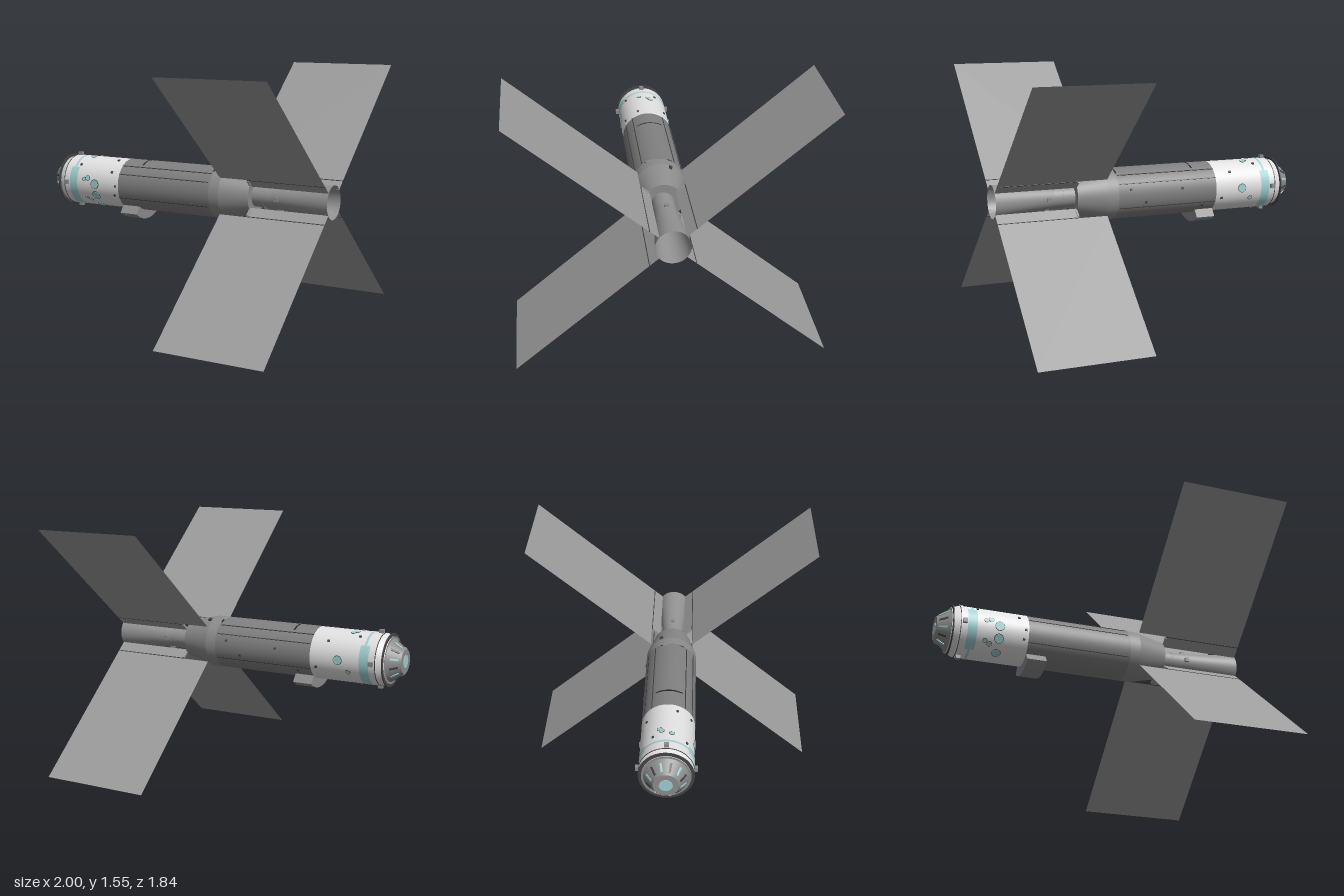
import * as THREE from 'three';
import { mergeGeometries } from 'three/addons/utils/BufferGeometryUtils.js';

const mat = (name, color, side = THREE.FrontSide) => {
  const m = new THREE.MeshStandardMaterial({ color, side });
  m.name = name;
  return m;
};
const RAD = Math.PI / 180;

export function createModel() {
  const white = mat('white hull', 0xe2e2e2);
  const shellGray = mat('shell gray', 0x808080);
  const aftGray = mat('aft gray', 0x8c8c8c);
  const panelGray = mat('panel gray', 0x9c9c9c, THREE.DoubleSide);
  const nozzleGray = mat('nozzle gray', 0x939393, THREE.DoubleSide);
  const dark = mat('dark trim', 0x454545);
  const teal = mat('teal marking', 0x9fd0d0);

  const root = new THREE.Group();
  root.name = 'spaceStation';
  const craft = new THREE.Group(); // local x axis is the centreline
  craft.name = 'craft';
  craft.position.y = 0.775;
  root.add(craft);

  const add = (name, geometry, material) => {
    const m = new THREE.Mesh(geometry, material);
    m.name = name;
    craft.add(m);
    return m;
  };
  // Revolved skin from [x, radius] points; angles are degrees from +z towards up
  const skin = (pts, from = 0, to = 360) => {
    const parts = [];
    for (let i = 0; i + 1 < pts.length; i++) {
      const pair = [pts[i], pts[i + 1]].map(([x, r]) => new THREE.Vector2(r, x));
      const segments = Math.max(4, Math.round((to - from) / 6));
      parts.push(new THREE.LatheGeometry(pair, segments, -to * RAD, (to - from) * RAD));
    }
    return mergeGeometries(parts).rotateZ(-Math.PI / 2);
  };
  // Mesh on the hull with local z pointing outwards
  const place = (name, geometry, material, x, r, deg, tilt = 0) => {
    const a = deg * RAD;
    const m = add(name, geometry, material);
    m.position.set(x, r * Math.sin(a), r * Math.cos(a));
    m.rotation.set(-a, tilt, 0);
    return m;
  };
  const box = (x, y, z) => new THREE.BoxGeometry(x, y, z);
  const disc = (r, h = 0.008) => new THREE.CylinderGeometry(r, r, h, 20).rotateX(Math.PI / 2);

  // Nose cone with flat tip and slanted ribs
  add('noseCone', skin([[-1, 0], [-1, 0.075], [-0.92, 0.132], [-0.92, 0.145]]), aftGray);
  add('noseTip', skin([[-1.0, 0], [-1.0, 0.04], [-0.996, 0.04]]).translate(-0.002, 0, 0), teal);
  for (let i = 0; i < 12; i++) {
    place('noseRib', box(0.055, 0.012, 0.006), i % 2 ? teal : dark, -0.963, 0.103, i * 30 + 15, -Math.atan(0.7));
  }
  add('noseHoop', skin([[-0.915, 0.143], [-0.915, 0.164], [-0.908, 0.164], [-0.908, 0.143]]), dark);

  // White forward hull
  add('forwardHull', skin([[-0.92, 0.143], [-0.865, 0.162], [-0.44, 0.162]]), white);
  add('forwardSeam', skin([[-0.869, 0.161], [-0.869, 0.164], [-0.865, 0.164], [-0.865, 0.161]]), dark);

  // Gray shell with two flat-bottomed slots cut across its top
  const R = 0.163, slots = [-0.295, 0.225], w = 0.006, half = 31;
  const shell = [skin([[-0.44, 0.15], [-0.44, R], [slots[0] - w, R]]),
    skin([[slots[0] + w, R], [slots[1] - w, R]])];
  for (const x of slots) {
    shell.push(skin([[x - w, R], [x + w, R]], 90 + half, 450 - half));
    const floor = add('slotFloor', box(2 * w, 0.01, 2 * R * Math.sin(half * RAD)), dark);
    floor.position.set(x, R * Math.cos(half * RAD) - 0.005, 0);
  }
  add('mainShell', mergeGeometries(shell), shellGray);
  add('aftShell', skin([[slots[1] + w, R], [0.3, R]]), aftGray);
  add('aftCone', skin([[0.3, R], [0.485, 0.12], [0.485, 0.06]]), aftGray);

  // Long shell seams
  for (const deg of [29, -27, 151, 207, 128, 52]) {
    place('shellSeam', box(0.66, 0.005, 0.006), dark, -0.11, R, deg);
  }

  // Flared tail, open at the end, with an inner bulkhead
  add('tailNozzle', skin([[0.485, 0.068], [0.62, 0.07], [0.8, 0.085], [1, 0.105]]), nozzleGray);
  add('tailBulkhead', new THREE.CircleGeometry(0.07, 40).rotateY(Math.PI / 2), nozzleGray).position.x = 0.56;

  // Four thin solar wings, each with an inner strip, a hinge line and an arm
  const sheet = (length, depth) => new THREE.PlaneGeometry(length, depth).rotateX(Math.PI / 2);
  for (const deg of [40.1, 139.9, 220.1, 319.9]) {
    place('solarPanel', sheet(0.7, 1.025), panelGray, 0.65, 0.6905, deg);
    place('solarInnerStrip', sheet(0.515, 0.071), panelGray, 0.7425, 0.138, deg);
    place('solarHinge', box(0.515, 0.004, 0.005), dark, 0.7425, 0.1755, deg);
    place('solarArm', box(0.012, 0.012, 0.055), panelGray, 0.488, 0.142, deg);
  }

  // Belly fairing: an annular sector
  const sector = new THREE.Shape();
  sector.absarc(0, 0, 0.222, -127 * RAD, -53 * RAD, false);
  sector.absarc(0, 0, 0.155, -53 * RAD, -127 * RAD, true);
  add('bellyFairing', new THREE.ExtrudeGeometry(sector, { depth: 0.125, bevelEnabled: false, curveSegments: 16 })
    .rotateY(Math.PI / 2), aftGray).position.x = -0.44;

  // Teal band: narrow ring with wider patches on both sides
  add('tealBand', skin([[-0.803, 0.1635], [-0.787, 0.1635]]), teal);
  for (const [a, b] of [[-62, 38], [142, 242]]) {
    add('tealPatch', skin([[-0.825, 0.1632], [-0.765, 0.1632]], a, b), teal);
  }

  // Portholes: [x, radius, angle]
  const ports = [[-0.625, 0.028, 0], [-0.625, 0.028, -28], [-0.625, 0.026, -62], [-0.71, 0.012, 10],
    [-0.68, 0.015, 13], [-0.71, 0.012, -36], [-0.68, 0.014, -42], [-0.7, 0.013, 101],
    [-0.68, 0.014, 106], [-0.72, 0.013, 80], [-0.625, 0.026, 180], [-0.69, 0.013, 205]];
  for (const [x, r, deg] of ports) {
    place('portholeRim', disc(r + 0.003), dark, x, 0.1595, deg);
    place('porthole', disc(r), teal, x, 0.161, deg);
  }

  // Thruster blocks around the nose and small fittings along the hull
  for (let i = 0; i < 4; i++) place('thruster', box(0.027, 0.027, 0.03), aftGray, -0.845, 0.167, i * 90);
  const fittings = [[-0.47, -22], [-0.5, 32], [-0.46, 0], [-0.5, 70], [-0.76, 45], [-0.55, 140],
    [-0.48, 200], [-0.74, 250], [-0.2, 170], [0.05, 195], [0.15, 165], [-0.35, 215], [-0.74, 120]];
  for (const [x, deg] of fittings) place('fitting', box(0.014, 0.014, 0.01), dark, x, 0.164, deg);
  for (const deg of [0, 90, 180, 270]) place('tailSensor', box(0.026, 0.026, 0.02), aftGray, 0.655, 0.077, deg);
  place('coneSensor', box(0.02, 0.02, 0.02), dark, 0.32, 0.16, 114);

  return root;
}
